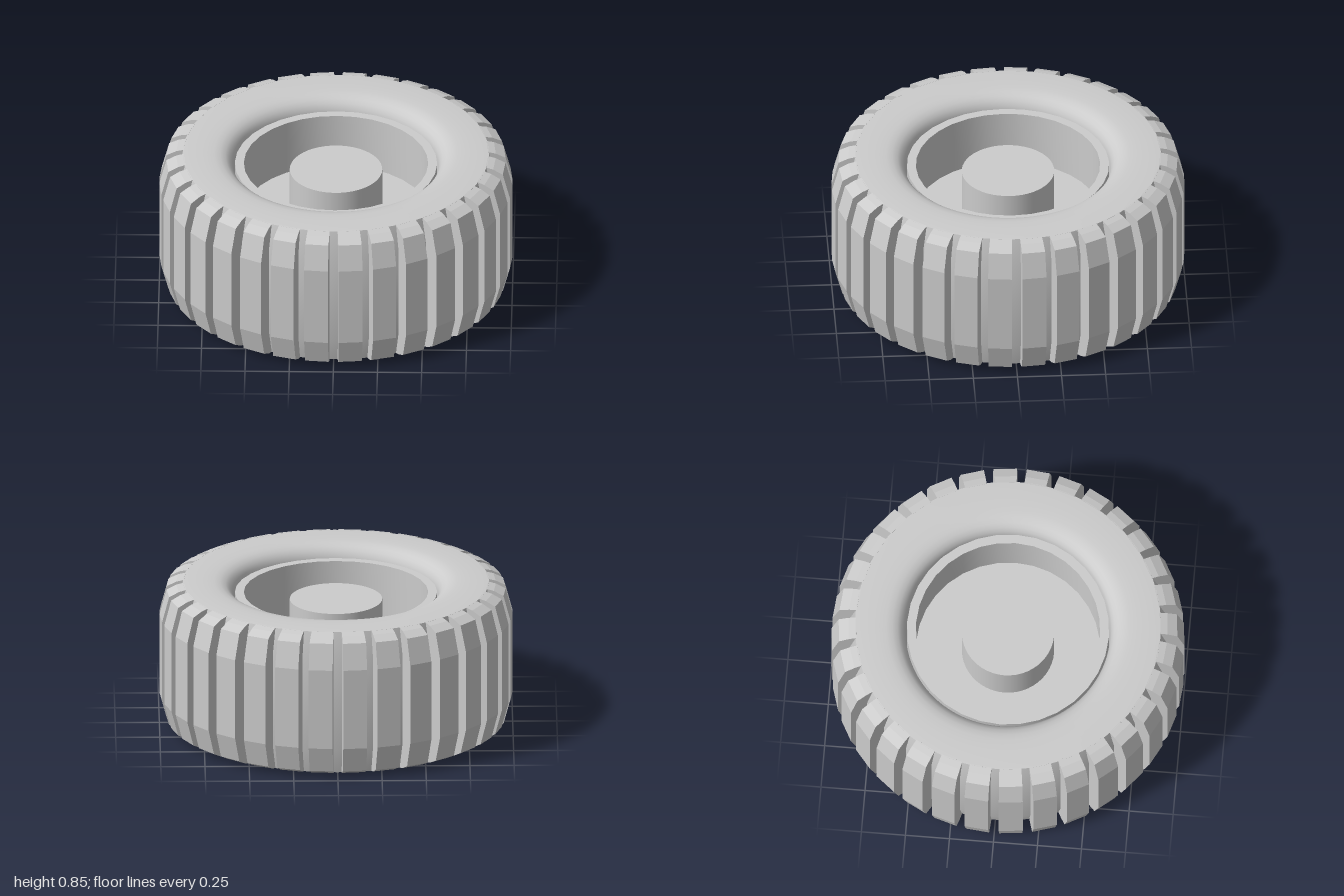
import * as THREE from 'three';
import { mergeGeometries, toCreasedNormals } from 'three/addons/utils/BufferGeometryUtils.js';

const HEIGHT = 0.85, MID = HEIGHT / 2, LUGS = 32;
const material = new THREE.MeshStandardMaterial({ color: 0xcccccc });

function part(name, geometry) {
  const mesh = new THREE.Mesh(geometry, material);
  mesh.name = name;
  return mesh;
}

// Mirrors the lower half of a profile [radius, y] about mid height and closes it on request
function symmetricProfile(lower, close) {
  const upper = lower.map(([r, y]) => [r, HEIGHT - y]).reverse();
  const points = [...lower, ...upper].map(([r, y]) => new THREE.Vector2(r, y));
  if (close) points.push(points[0].clone());
  return points;
}

function revolve(lower, segments) {
  return toCreasedNormals(new THREE.LatheGeometry(symmetricProfile(lower, true), segments), 0.5);
}

// One wedge-shaped tread block: a profile swept between two groove edges
function lugGeometry(index) {
  const shape = new THREE.Shape(symmetricProfile([
    [0.84, 0.06], [0.862, 0.003], [0.905, 0.014], [0.96, 0.042], [1, 0.19]
  ], false));
  const geometry = new THREE.ExtrudeGeometry(shape, { depth: 1, steps: 1, bevelEnabled: false });
  const pos = geometry.attributes.position;
  const pitch = (Math.PI * 2) / LUGS;
  for (let i = 0; i < pos.count; i++) {
    const r = pos.getX(i);
    const halfGroove = THREE.MathUtils.mapLinear(r, 0.86, 1, 0.022, 0.030) / r;
    const side = pos.getZ(i) * 2 - 1;
    const angle = (index + 0.5) * pitch + side * (pitch / 2 - halfGroove);
    pos.setXYZ(i, r * Math.cos(angle), pos.getY(i), r * Math.sin(angle));
  }
  geometry.computeVertexNormals();
  return geometry;
}

export function createModel() {
  const wheel = new THREE.Group();
  wheel.name = 'wheel';

  // Tyre carcass with rounded beads; its outer wall is the groove floor
  wheel.add(part('tyreBody', revolve([
    [0.58, 0.09], [0.588, 0.06], [0.603, 0.036], [0.625, 0.018],
    [0.655, 0.006], [0.69, 0.001], [0.74, 0], [0.81, 0], [0.866, 0.004], [0.9, 0.15]
  ], 96)));

  // Ring of tread blocks
  const lugs = Array.from({ length: LUGS }, (_, i) => lugGeometry(i));
  wheel.add(part('treadBlocks', mergeGeometries(lugs)));

  // Rim barrel, set just inside the tyre bead
  wheel.add(part('rim', revolve([[0.522, 0.07], [0.573, 0.07]], 32)));

  // Web disc and central hub
  const disc = part('rimDisc', new THREE.CylinderGeometry(0.54, 0.54, 0.06, 32));
  const hub = part('hub', new THREE.CylinderGeometry(0.262, 0.262, 0.63, 48));
  disc.position.y = hub.position.y = MID;
  wheel.add(disc, hub);

  return wheel;
}
